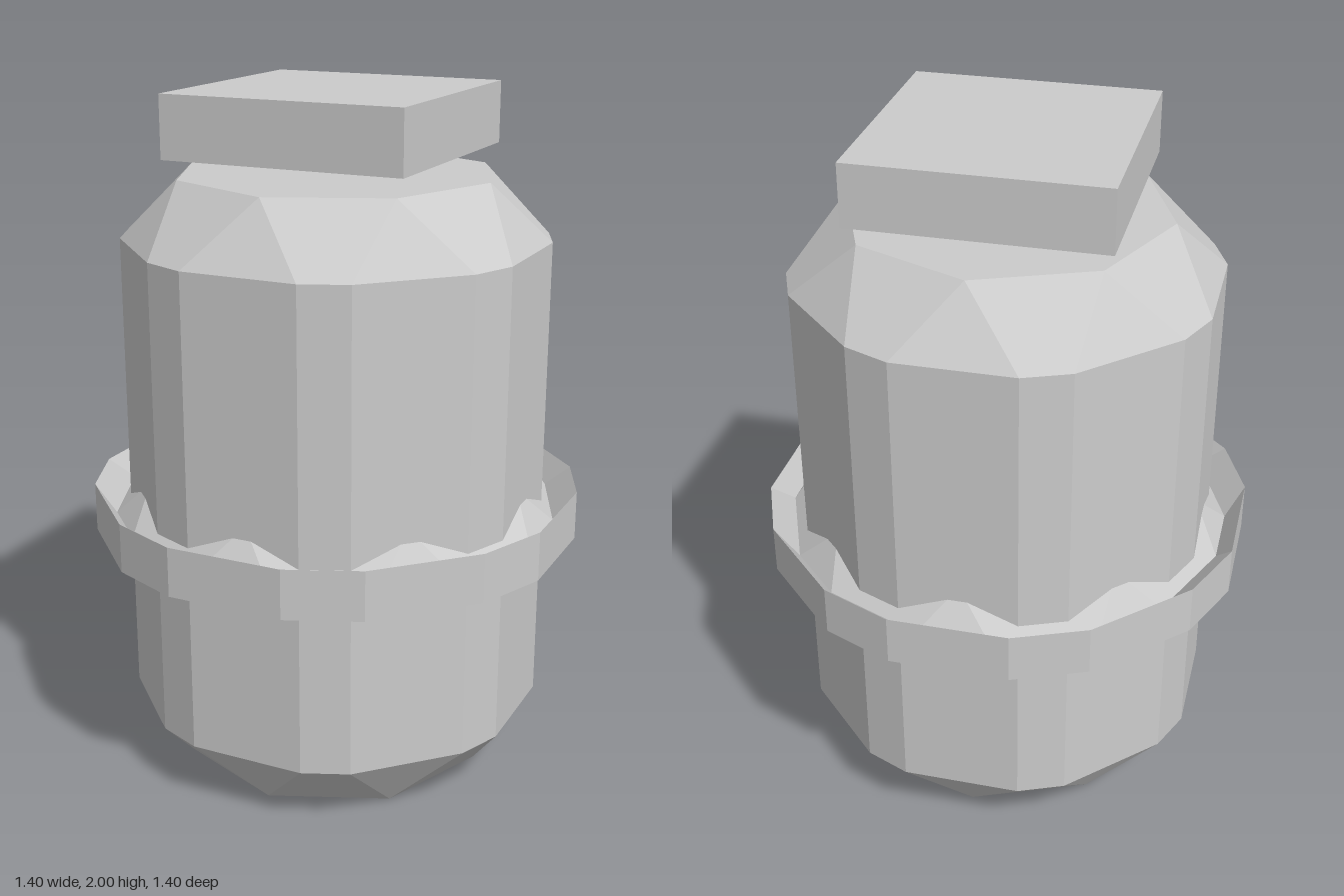
import * as THREE from 'three';

const SIDES = 8;
const STEP = (Math.PI * 2) / SIDES;

// Point at an angle measured from the front (+z) towards +x
const polar = (angle, radius, y) => [Math.sin(angle) * radius, y, Math.cos(angle) * radius];

// Octagonal drum with chamfered corners: a wall of alternating wide and narrow
// faces, closed at each end by a bevel that converges on an octagonal cap.
// flat: distance to the wide wall faces, half: half their width, capR: cap corner radius,
// wallLow / wallHigh: heights where the lower / upper bevel leaves the wall.
function chamferedDrum({ flat, half, capR, capLow, wallLow, wallHigh, capHigh }) {
  const wallR = Math.hypot(flat, half);
  const spread = Math.atan2(half, flat);
  const positions = [];
  const tri = (...corners) => corners.forEach((p) => positions.push(...p));
  const quad = (a, b, c, d) => { tri(a, b, c); tri(a, c, d); };
  const bandLow = Math.min(wallLow, wallHigh);
  const bandHigh = Math.max(wallLow, wallHigh);

  for (let k = 0; k < SIDES; k++) {
    const a = k * STEP;
    const next = a + STEP;
    const left = a - spread, right = a + spread, nextLeft = next - spread;
    const wall = (angle, y) => polar(angle, wallR, y);
    const cap = (angle, y) => polar(angle, capR, y);

    // Wide and narrow wall faces
    for (const [from, to] of [[left, right], [right, nextLeft]]) {
      quad(wall(from, bandLow), wall(to, bandLow), wall(to, bandHigh), wall(from, bandHigh));
    }
    // Upper bevel and cap
    tri(wall(left, wallHigh), wall(right, wallHigh), cap(a, capHigh));
    quad(wall(right, wallHigh), wall(nextLeft, wallHigh), cap(next, capHigh), cap(a, capHigh));
    tri([0, capHigh, 0], cap(a, capHigh), cap(next, capHigh));
    // Lower bevel and cap
    tri(wall(right, wallLow), wall(left, wallLow), cap(a, capLow));
    quad(cap(a, capLow), cap(next, capLow), wall(nextLeft, wallLow), wall(right, wallLow));
    tri([0, capLow, 0], cap(next, capLow), cap(a, capLow));
  }

  const geometry = new THREE.BufferGeometry();
  geometry.setAttribute('position', new THREE.Float32BufferAttribute(positions, 3));
  geometry.computeVertexNormals();
  return geometry;
}

export function createModel() {
  const model = new THREE.Group();
  model.name = 'canister';

  const solid = new THREE.MeshStandardMaterial({ color: 0xcccccc, flatShading: true });
  const doubleSided = solid.clone();
  doubleSided.side = THREE.DoubleSide;

  const add = (name, geometry, material = solid) => {
    const mesh = new THREE.Mesh(geometry, material);
    mesh.name = name;
    model.add(mesh);
    return mesh;
  };

  // Main vessel
  add('body', chamferedDrum({
    flat: 0.593, half: 0.17, capR: 0.464,
    capLow: 0, wallLow: 0.188, wallHigh: 1.58, capHigh: 1.765,
  }));

  // Collar: its two bevels cross halfway up, leaving a V groove above and below
  add('collarRing', chamferedDrum({
    flat: 0.7, half: 0.17, capR: 0.572,
    capLow: 0.66, wallLow: 0.847, wallHigh: 0.703, capHigh: 0.89,
  }), doubleSided);

  // Square lid hovering just above the body
  add('lid', new THREE.BoxGeometry(0.716, 0.178, 0.716)).position.y = 1.911;

  return model;
}
